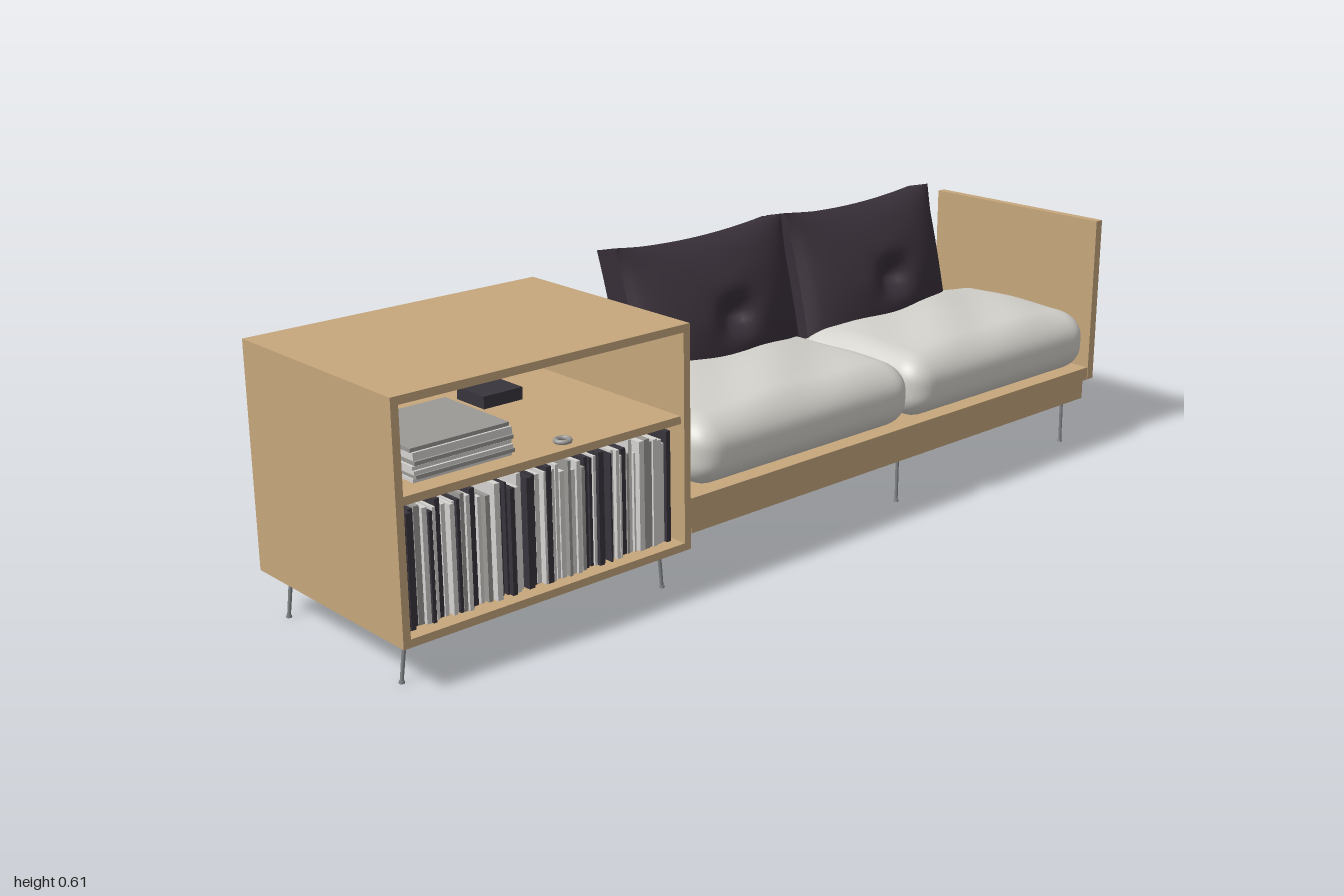
import * as THREE from 'three';
import { mergeVertices } from 'three/addons/utils/BufferGeometryUtils.js';

const mat = (name, color) => {
  const m = new THREE.MeshStandardMaterial({ color });
  m.name = name;
  return m;
};

export function createModel() {
  const wood = mat('wood', 0xc6a67c);
  const fabric = mat('paleFabric', 0xd2d0ca);
  const plum = mat('plumFabric', 0x382f38);
  const metal = mat('metal', 0x808386);
  const paper = mat('paper', 0xd4d3d0);
  const grey = mat('greyCover', 0x9a9996);
  const dark = mat('darkCover', 0x39343c);

  const model = new THREE.Group();
  model.name = 'daybedWithCabinet';
  const group = (name) => {
    const g = new THREE.Group();
    g.name = name;
    model.add(g);
    return g;
  };
  const add = (parent, name, geo, material) => {
    const m = new THREE.Mesh(geo, material);
    m.name = name;
    parent.add(m);
    return m;
  };
  // box given by its minimum and maximum on each axis
  const box = (parent, name, material, x0, x1, y0, y1, z0, z1) => {
    const m = add(parent, name, new THREE.BoxGeometry(x1 - x0, y1 - y0, z1 - z0), material);
    m.position.set((x0 + x1) / 2, (y0 + y1) / 2, (z0 + z1) / 2);
    return m;
  };
  let seed = 7;
  const rand = () => (seed = (seed * 16807) % 2147483647) / 2147483647;

  // open cabinet
  const D = 0.245, T = 0.016;
  const cabinet = group('cabinet');
  box(cabinet, 'cabinetTop', wood, -1, -0.32, 0.557 - T, 0.557, -D, D);
  box(cabinet, 'cabinetBottom', wood, -1, -0.32, 0.091, 0.091 + T, -D, D);
  box(cabinet, 'cabinetRightSide', wood, -1, -1 + T, 0.091 + T, 0.557 - T, -D, D);
  box(cabinet, 'cabinetLeftSide', wood, -0.32 - T, -0.32, 0.091 + T, 0.557 - T, -D, D);
  box(cabinet, 'cabinetBack', wood, -1 + T, -0.32 - T, 0.091 + T, 0.557 - T, -D, -D + T);
  box(cabinet, 'shelf', wood, -1 + T, -0.32 - T, 0.354, 0.37, -D + T, D - 0.01);

  // row of books and magazines
  const books = group('books');
  const covers = [paper, dark, paper, grey, dark, paper];
  for (let x = -0.978; x < -0.352;) {
    const w = 0.004 + rand() * 0.009;
    const h = 0.205 + rand() * 0.028;
    const front = 0.205 + rand() * 0.015;
    box(books, 'book', covers[Math.floor(rand() * 6)], x, x + w, 0.107, 0.107 + h, front - 0.19, front);
    x += w + (rand() < 0.25 ? 0.006 : 0.001);
  }

  // magazine stack and small objects on the shelf
  const stack = group('magazineStack');
  for (let i = 0; i < 8; i++) {
    const dx = (rand() - 0.5) * 0.012, dz = (rand() - 0.5) * 0.012, y = 0.37 + i * 0.0083;
    box(stack, 'magazine', i % 3 === 1 ? grey : paper, -0.93 + dx, -0.714 + dx, y, y + 0.0075, -0.005 + dz, 0.195 + dz);
  }
  const objects = group('shelfObjects');
  const ring = add(objects, 'ring', new THREE.TorusGeometry(0.014, 0.005, 8, 20), grey);
  ring.rotation.x = Math.PI / 2;
  ring.position.set(-0.6, 0.375, 0.2);
  box(objects, 'darkBox', dark, -0.59, -0.495, 0.37, 0.396, -0.15, -0.06);

  // bench platform, front apron and end panel
  const bench = group('bench');
  box(bench, 'platform', wood, -0.32, 0.974, 0.166, 0.197, -D, D);
  box(bench, 'apron', wood, -0.311, 0.97, 0.118, 0.166, 0.22, 0.236);
  box(bench, 'endPanel', wood, 0.976, 0.997, 0.166, 0.557, -D, D);

  // slim legs with small feet; cabinet legs splay outwards
  const legs = group('legs');
  const leg = (x, z, top, splay) => {
    const a = new THREE.Vector3(x, 0.003, z), b = new THREE.Vector3(x - splay, top, z);
    const m = add(legs, 'leg', new THREE.CylinderGeometry(0.0042, 0.0036, a.distanceTo(b), 12), metal);
    m.position.copy(a).lerp(b, 0.5);
    m.quaternion.setFromUnitVectors(new THREE.Vector3(0, 1, 0), b.clone().sub(a).normalize());
    add(legs, 'foot', new THREE.CylinderGeometry(0.005, 0.006, 0.005, 12), metal).position.set(x, 0.0025, z);
  };
  for (const z of [0.192, -0.195]) {
    leg(-0.974, z, 0.093, -0.012);
    leg(-0.352, z, 0.093, 0.008);
    leg(0.351, z, 0.168, 0);
    leg(0.952, z, 0.168, 0.004);
  }

  // soft seat cushion: rounded box with a wavy, gently swelling top
  const seatCushion = (name, cx, hw, phase) => {
    const hy = 0.071, hz = 0.188, r = 0.055;
    let geo = new THREE.BoxGeometry(2 * hw, 2 * hy, 2 * hz, 48, 16, 36);
    geo.deleteAttribute('uv');
    geo.deleteAttribute('normal');
    geo = mergeVertices(geo);
    const p = geo.attributes.position, v = new THREE.Vector3(), core = new THREE.Vector3();
    for (let i = 0; i < p.count; i++) {
      v.fromBufferAttribute(p, i);
      const lim = (t, h) => Math.max(-h + r, Math.min(h - r, t));
      core.set(lim(v.x, hw), lim(v.y, hy), lim(v.z, hz));
      v.sub(core).normalize().multiplyScalar(r).add(core);
      const a = v.x / hw, b = v.y / hy, c = v.z / hz;
      const fx = 1 - a * a, fy = 1 - b * b, fz = 1 - c * c;
      if (b > 0) {
        v.y += b * (fx * fz * 0.02 + fx * 0.006 * (1 - c)
          + 0.004 * Math.sin(7 * a + 4 * c + phase) * Math.sqrt(Math.max(0, fx * fz)));
      }
      v.z += c * fy * 0.01;
      v.x += a * fy * (0.004 - 0.003 * c);
      p.setXYZ(i, v.x, v.y, v.z);
    }
    geo.computeVertexNormals();
    add(model, name, geo, fabric).position.set(cx, 0.272, 0.063);
  };
  seatCushion('seatCushionRight', 0.013, 0.314, 0);
  seatCushion('seatCushionLeft', 0.643, 0.311, 2);

  // back pillow: pinched edges, swollen faces and a tufted middle
  const backPillow = (name, cx, tilt) => {
    const geo = new THREE.BoxGeometry(2, 2, 2, 36, 36, 4);
    const p = geo.attributes.position;
    for (let i = 0; i < p.count; i++) {
      const u = p.getX(i), v = p.getY(i), w = p.getZ(i);
      const fu = Math.max(0, 1 - u * u), fv = Math.max(0, 1 - v * v);
      const dv = v - 0.08;
      const tuft = 0.045 * Math.exp(-(u * u + dv * dv) / 0.035);
      const fold = 0.004 * Math.cos(4 * Math.atan2(dv, u)) * Math.exp(-(u * u + dv * dv) / 0.15) * Math.min(1, 8 * (u * u + dv * dv));
      const half = 0.032 + 0.088 * Math.pow(fu * fv, 0.7) - tuft + fold;
      p.setXYZ(i,
        u * 0.245 * (1 - 0.035 * fv),
        v * 0.205 * (1 - 0.075 * fu),
        w * half);
    }
    geo.computeVertexNormals();
    const m = add(model, name, geo, plum);
    m.position.set(cx, 0.402, -0.138);
    m.rotation.set(-0.24, 0, tilt);
  };
  backPillow('backPillowRight', 0.077, 0.0);
  backPillow('backPillowLeft', 0.583, 0.0);

  return model;
}
